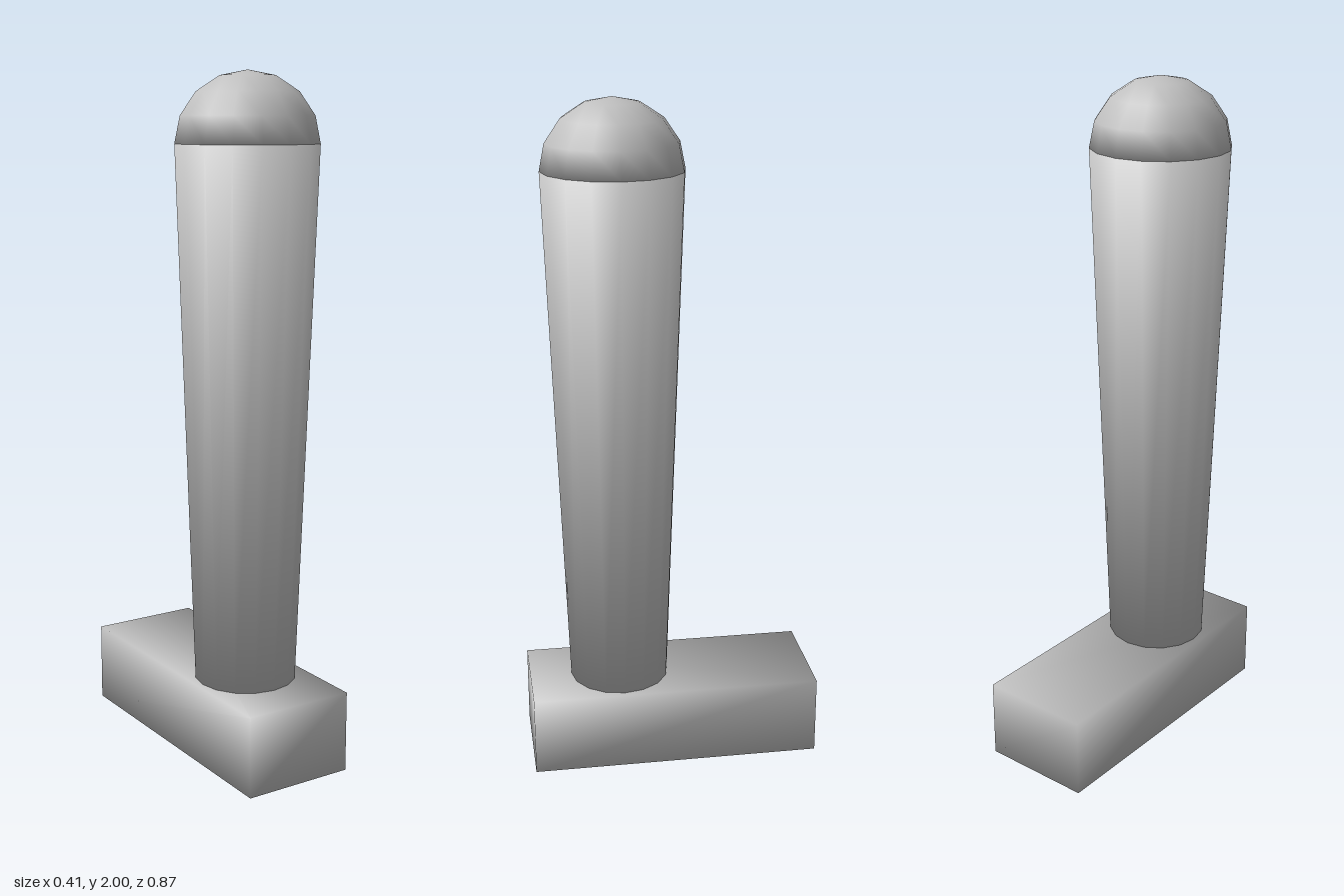
import * as THREE from 'three';
import { mergeVertices } from 'three/addons/utils/BufferGeometryUtils.js';

const BASE_HEIGHT = 0.24, RIM_HEIGHT = 1.8, RIM_RADIUS = 0.205, SIDES = 16;

// Weld all corners and blend normals across every edge, weighted by corner angle
function weldSmooth(source) {
  source.deleteAttribute('uv');
  source.deleteAttribute('normal');
  const geometry = mergeVertices(source, 1e-4);
  const position = geometry.attributes.position;
  const index = geometry.index;
  const normals = Array.from({ length: position.count }, () => new THREE.Vector3());
  const triangle = new THREE.Triangle();
  const faceNormal = new THREE.Vector3();
  for (let i = 0; i < index.count; i += 3) {
    const ids = [0, 1, 2].map((k) => index.getX(i + k));
    triangle.setFromAttributeAndIndices(position, ...ids);
    if (triangle.getArea() < 1e-8) continue;
    triangle.getNormal(faceNormal);
    const corners = [triangle.a, triangle.b, triangle.c];
    corners.forEach((corner, k) => {
      const next = corners[(k + 1) % 3].clone().sub(corner);
      const previous = corners[(k + 2) % 3].clone().sub(corner);
      normals[ids[k]].addScaledVector(faceNormal, next.angleTo(previous));
    });
  }
  const flat = normals.flatMap((n) => n.normalize().toArray());
  geometry.setAttribute('normal', new THREE.Float32BufferAttribute(flat, 3));
  return geometry;
}

export function createModel() {
  const group = new THREE.Group();
  const grey = new THREE.MeshStandardMaterial({ color: 0xc0c0c0 });
  grey.name = 'light grey';

  function addPart(name, geometry, y, z) {
    const mesh = new THREE.Mesh(weldSmooth(geometry), grey);
    mesh.name = name;
    mesh.position.set(0, y, z);
    group.add(mesh);
  }

  // Long block at the foot
  addPart('base', new THREE.BoxGeometry(0.336, BASE_HEIGHT, 0.872), BASE_HEIGHT / 2, 0);

  // Shaft widening upwards, set towards the front
  const shaftHeight = RIM_HEIGHT - BASE_HEIGHT;
  addPart('shaft', new THREE.CylinderGeometry(RIM_RADIUS, 0.15, shaftHeight, SIDES),
    BASE_HEIGHT + shaftHeight / 2, 0.158);

  // Closed half dome on top
  const profile = [new THREE.Vector2(0, 0)];
  for (let i = 0; i <= 4; i++) {
    const angle = (i / 4) * Math.PI / 2;
    profile.push(new THREE.Vector2(RIM_RADIUS * Math.cos(angle), 0.2 * Math.sin(angle)));
  }
  addPart('domeCap', new THREE.LatheGeometry(profile, SIDES), RIM_HEIGHT, 0.158);

  return group;
}
